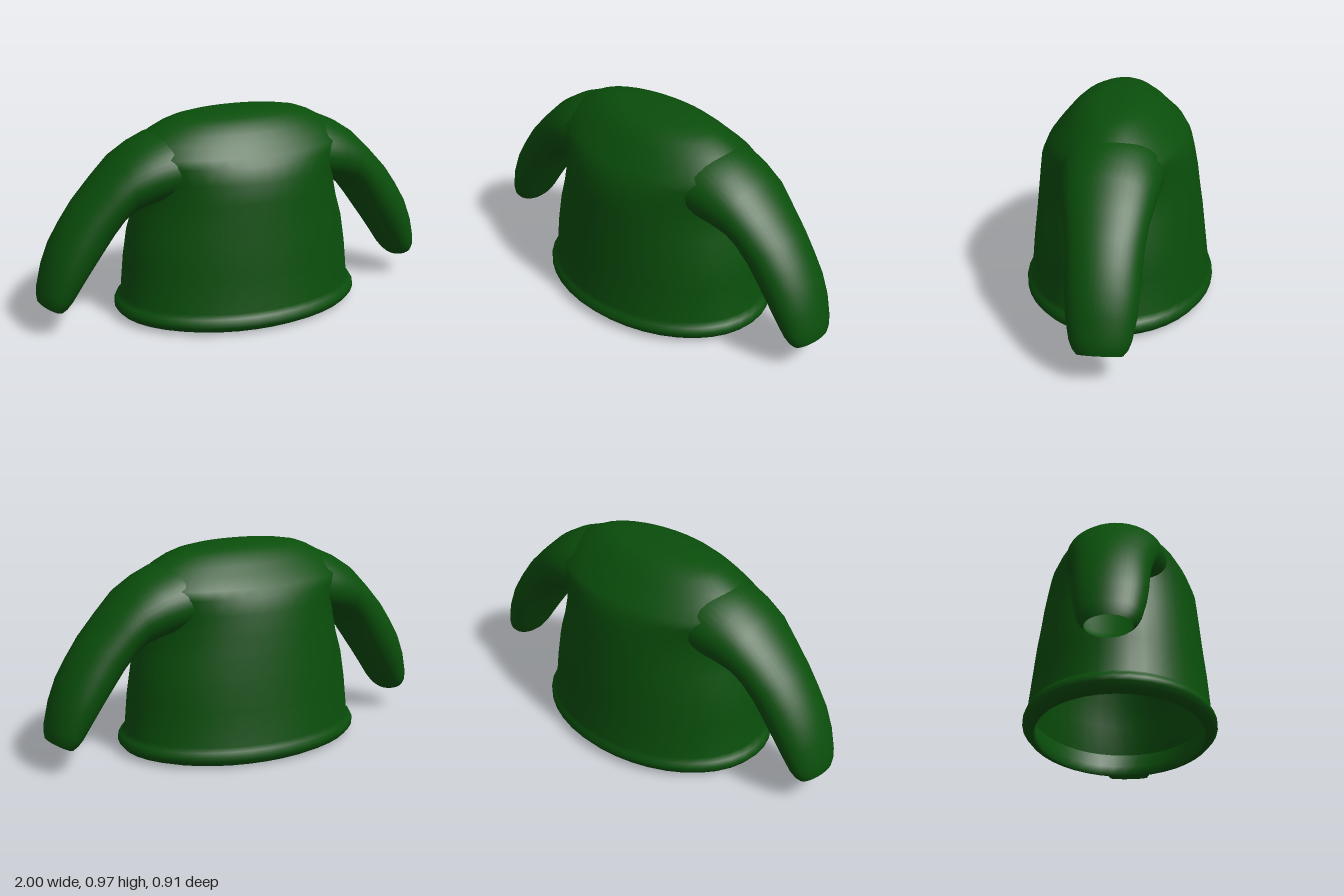
import * as THREE from 'three';

const SEG = 40;

// Skin a list of closed rings; each ring is a function angle -> [x, y, z]
function loft(rings) {
  const pos = [], idx = [];
  rings.forEach((ring, i) => {
    for (let j = 0; j < SEG; j++) {
      pos.push(...ring((j / SEG) * Math.PI * 2));
      if (i === rings.length - 1) continue;
      const a = i * SEG + j, c = i * SEG + ((j + 1) % SEG);
      idx.push(a, a + SEG, c, c, a + SEG, c + SEG);
    }
  });
  const geo = new THREE.BufferGeometry();
  geo.setAttribute('position', new THREE.Float32BufferAttribute(pos, 3));
  geo.setIndex(idx);
  geo.computeVertexNormals();
  return geo;
}

// Torso heights: y, half width, front depth, back depth; the shoulders flare into the sleeves
const TORSO = [
  [0.10, 0.58, 0.43, 0.435], [0.27, 0.565, 0.415, 0.415], [0.40, 0.545, 0.40, 0.40],
  [0.50, 0.515, 0.39, 0.385], [0.60, 0.495, 0.38, 0.372], [0.69, 0.495, 0.37, 0.355],
  [0.76, 0.53, 0.34, 0.338], [0.80, 0.555, 0.31, 0.31], [0.85, 0.505, 0.268, 0.255],
  [0.89, 0.445, 0.235, 0.215], [0.925, 0.38, 0.198, 0.175], [0.947, 0.32, 0.16, 0.137],
  [0.96, 0.245, 0.122, 0.105], [0.968, 0.15, 0.08, 0.07], [0.97, 0.001, 0.001, 0.001],
];
// Rolled hem, from the inner edge round to the torso
const HEM = [
  [0.12, 0.565, 0.418, 0.418], [0.05, 0.54, 0.398, 0.398], [0.012, 0.535, 0.395, 0.395],
  [0.002, 0.55, 0.405, 0.405], [0.018, 0.595, 0.435, 0.435], [0.04, 0.613, 0.455, 0.453],
  [0.06, 0.613, 0.455, 0.453], [0.08, 0.602, 0.443, 0.445],
];
const torsoRing = ([y, w, front, back]) => (t) => {
  const s = Math.sin(t);
  return [w * Math.cos(t), y, s * (s > 0 ? front : back)];
};

// Sleeve sections, shoulder to cuff: outer x, y, inner x, y, half depth, saddle
const SLEEVE = [
  [0.36, 0.90, 0.48, 0.58, 0.235, 0.14],
  [0.44, 0.893, 0.49, 0.565, 0.235, 0.08],
  [0.525, 0.855, 0.51, 0.555, 0.22, 0.03],
  [0.61, 0.80, 0.555, 0.535, 0.203, 0],
  [0.71, 0.705, 0.59, 0.505, 0.185, 0],
  [0.81, 0.60, 0.64, 0.44, 0.172, 0],
  [0.875, 0.51, 0.69, 0.37, 0.166, 0],
  [0.93, 0.42, 0.745, 0.295, 0.162, 0],
  [0.97, 0.32, 0.795, 0.225, 0.153, 0],
  [0.995, 0.22, 0.845, 0.15, 0.135, 0],
  [1.0, 0.18, 0.87, 0.12, 0.12, 0],
  [0.998, 0.153, 0.892, 0.102, 0.10, 0],
];
const sleeveRing = (side) => ([ox, oy, ix, iy, depth, saddle]) => (t) => {
  const c = Math.cos(t), s = Math.sin(t);
  return [
    side * ((ox + ix) / 2 + ((ox - ix) / 2) * c - saddle * s * s),
    (oy + iy) / 2 + ((oy - iy) / 2) * c,
    -side * depth * s,
  ];
};

export function createModel() {
  const model = new THREE.Group();
  model.name = 'sweater';
  const wool = new THREE.MeshStandardMaterial({ color: 0x0a4e0b, side: THREE.DoubleSide });
  wool.name = 'dark green wool';
  const add = (name, rings) => {
    const mesh = new THREE.Mesh(loft(rings), wool);
    mesh.name = name;
    model.add(mesh);
  };

  // Hollow torso with its rolled hem
  add('torso', [...HEM, ...TORSO].map(torsoRing));

  // Mirrored sleeves, open at the cuffs
  add('leftSleeve', SLEEVE.map(sleeveRing(1)));
  add('rightSleeve', SLEEVE.map(sleeveRing(-1)));
  return model;
}
